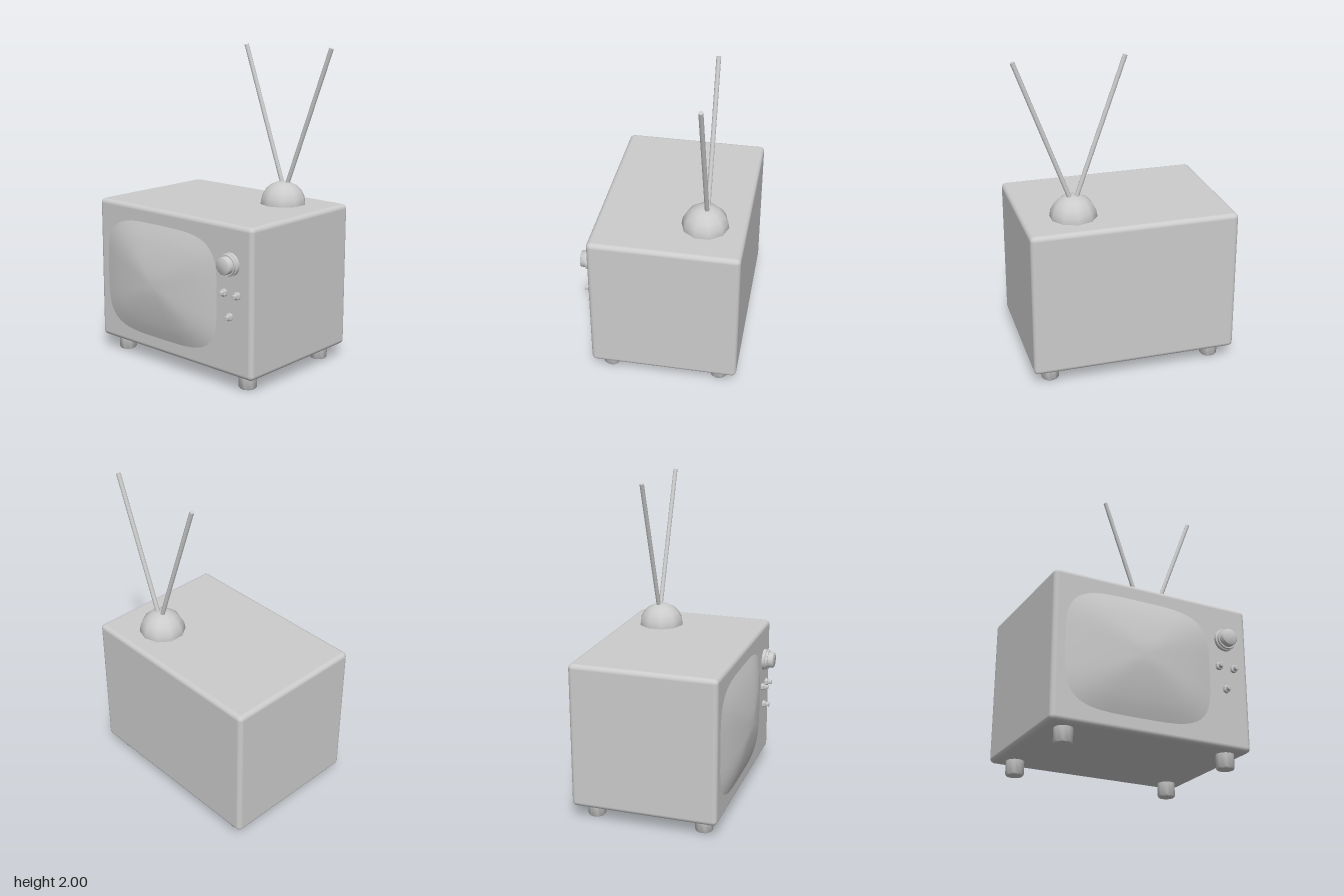
import * as THREE from 'three';
import { RoundedBoxGeometry } from 'three/addons/geometries/RoundedBoxGeometry.js';
import { toCreasedNormals } from 'three/addons/utils/BufferGeometryUtils.js';

const FRONT = 0.425;

// Bulging picture tube: superellipse rings stepping in to a central point
function screenGeometry() {
  const cx = -0.12, cy = 0.55, halfW = 0.48, halfH = 0.37, n = 48;
  const rings = [[1, FRONT - 0.001], [0.94, 0.432], [0.82, 0.447], [0.7, 0.46], [0.46, 0.481], [0.22, 0.494]];
  const pos = [], index = [];
  const power = (v) => Math.sign(v) * Math.sqrt(Math.abs(v));
  for (const [scale, z] of rings) {
    for (let i = 0; i < n; i++) {
      const a = (i / n) * Math.PI * 2;
      pos.push(cx + halfW * scale * power(Math.cos(a)), cy + halfH * scale * power(Math.sin(a)), z);
    }
  }
  pos.push(cx, cy, 0.504);
  const last = rings.length - 1, tip = rings.length * n;
  for (let i = 0; i < n; i++) {
    const j = (i + 1) % n;
    for (let r = 0; r < last; r++) {
      const a = r * n + i, b = r * n + j;
      index.push(a, b, b + n, a, b + n, a + n);
    }
    index.push(last * n + i, last * n + j, tip);
  }
  const geo = new THREE.BufferGeometry();
  geo.setAttribute('position', new THREE.Float32BufferAttribute(pos, 3));
  geo.setIndex(index);
  geo.computeVertexNormals();
  return geo;
}

// Turned part with crisp steps; profile is [radius, height] from base to top
function turned(profile, sides) {
  const points = profile.map(([r, h]) => new THREE.Vector2(r, h));
  return toCreasedNormals(new THREE.LatheGeometry(points, sides), 0.9);
}

export function createModel() {
  const model = new THREE.Group();
  const grey = new THREE.MeshStandardMaterial({ color: 0xcccccc });
  const add = (name, geometry, x = 0, y = 0, z = 0) => {
    const mesh = new THREE.Mesh(geometry, grey);
    mesh.name = name;
    mesh.position.set(x, y, z);
    model.add(mesh);
    return mesh;
  };

  // Cabinet and screen
  add('cabinet', new RoundedBoxGeometry(1.3, 0.925, 0.93, 3, 0.03), -0.02, 0.5525, -0.04);
  const screen = add('screen', screenGeometry());
  screen.material = grey.clone();
  screen.material.side = THREE.DoubleSide;

  // Four stubby feet
  const footGeo = turned([[0, 0], [0.05, 0], [0.056, 0.008], [0.056, 0.1], [0, 0.1]], 16);
  for (const x of [-0.545, 0.51])
    for (const z of [0.315, -0.385]) add('foot', footGeo, x, 0, z);

  // Channel knob on its stepped plate, and three small knobs
  const dialGeo = turned([[0, 0], [0.07, 0], [0.07, 0.018], [0.062, 0.022], [0.062, 0.036],
    [0.054, 0.036], [0.052, 0.068], [0.048, 0.071], [0, 0.071]], 24);
  const knobGeo = turned([[0, 0], [0.023, 0], [0.023, 0.018], [0.015, 0.022], [0.014, 0.044], [0, 0.046]], 16);
  add('channelKnob', dialGeo, 0.466, 0.78, FRONT).rotation.x = Math.PI / 2;
  for (const [x, y] of [[0.42, 0.6], [0.524, 0.6], [0.466, 0.46]])
    add('smallKnob', knobGeo, x, y, FRONT).rotation.x = Math.PI / 2;

  // Aerial base: faceted-outline dome
  const dome = add('aerialBase', new THREE.SphereGeometry(0.147, 10, 5, 0, Math.PI * 2, 0, Math.PI / 2), 0.31, 1.013, -0.248);
  dome.scale.y = 0.97;
  dome.rotation.y = Math.PI / 10;

  // Two slanted aerial rods
  for (const [x0, x1] of [[0.304, -0.01], [0.322, 0.653]]) {
    const from = new THREE.Vector3(x0, 1.11, -0.26), to = new THREE.Vector3(x1, 1.996, -0.26);
    const dir = to.clone().sub(from);
    const rod = add('aerialRod', new THREE.CylinderGeometry(0.014, 0.014, dir.length(), 12));
    rod.position.copy(from).add(to).multiplyScalar(0.5);
    rod.quaternion.setFromUnitVectors(new THREE.Vector3(0, 1, 0), dir.normalize());
  }
  return model;
}
